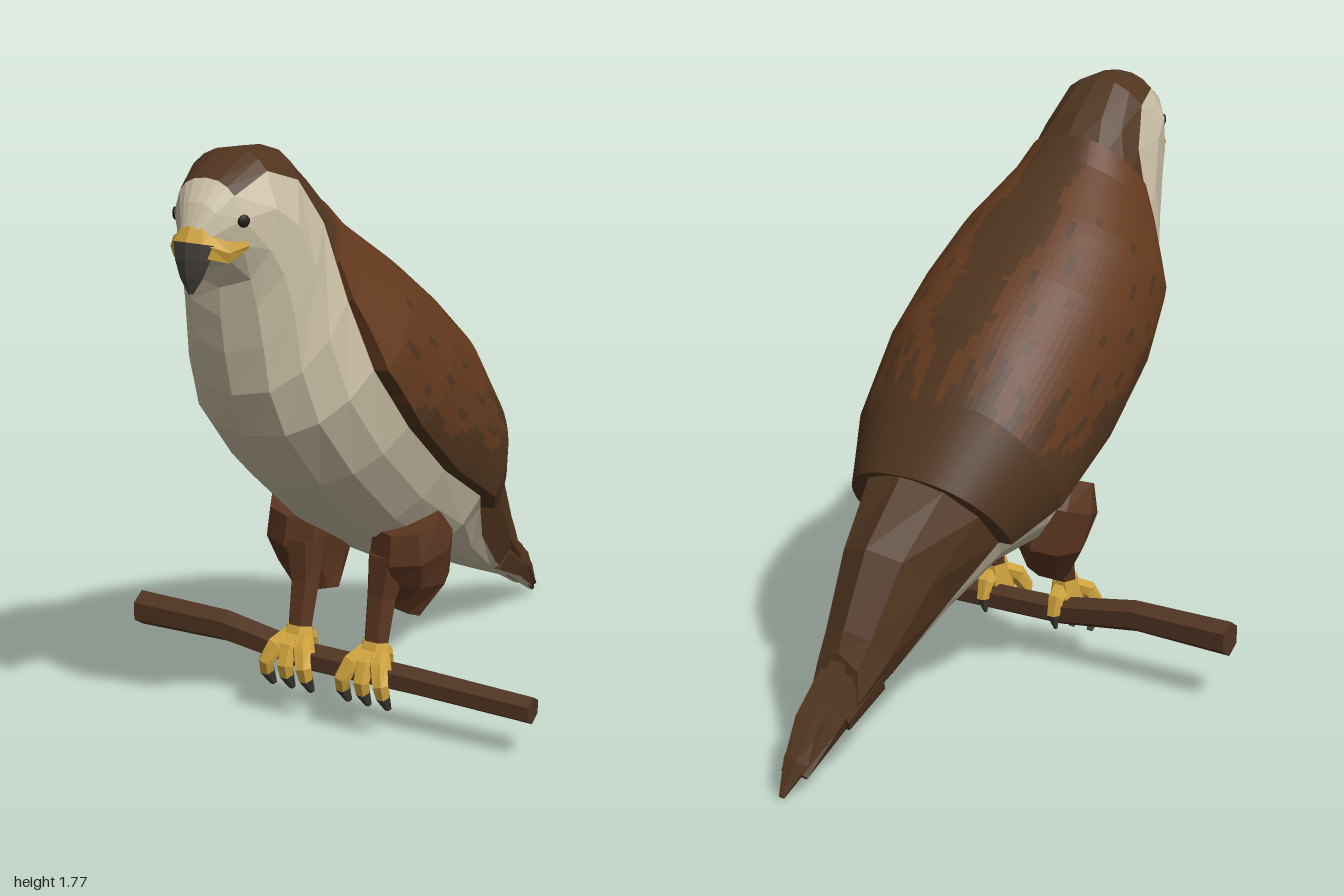
import * as THREE from 'three';

const mat = (name, color) => {
  const m = new THREE.MeshStandardMaterial({ color });
  m.name = name;
  return m;
};
const CREAM = mat('creamPlumage', 0xcbc0a6), DARK = mat('darkBrownPlumage', 0x50351f);
const RUST = mat('rustPlumage', 0x643a1e), LEG = mat('legPlumage', 0x59341f);
const YELLOW = mat('yellowSkin', 0xcea23c), HORN = mat('darkHorn', 0x45413b);
const BARK = mat('bark', 0x503422), EYE = mat('eye', 0x241c16);
const CX = 0.05; // the bird sits a little to one side of the branch centre
const V = (x, y, z) => new THREE.Vector3(x, y, z);
const lerp = THREE.MathUtils.lerp;

// Joins rows of points into faceted meshes, one per material; pick(i, j) colours a quad
function loft(name, rows, pick, closed, capStart, capEnd) {
  const faces = new Map();
  const tri = (m, ...p) => {
    if (!faces.has(m)) faces.set(m, []);
    p.forEach(v => faces.get(m).push(v.x, v.y, v.z));
  };
  const n = rows[0].length, cols = closed ? n : n - 1;
  for (let i = 0; i < rows.length - 1; i++) {
    for (let j = 0; j < cols; j++) {
      const k = (j + 1) % n, m = pick(i, j);
      tri(m, rows[i][j], rows[i][k], rows[i + 1][k]);
      tri(m, rows[i][j], rows[i + 1][k], rows[i + 1][j]);
    }
  }
  const cap = (row, flip, m) => {
    const c = row.reduce((a, v) => a.add(v), V(0, 0, 0)).divideScalar(n);
    row.forEach((v, j) => {
      const w = row[(j + 1) % n];
      flip ? tri(m, c, w, v) : tri(m, c, v, w);
    });
  };
  if (capStart) cap(rows[0], true, capStart);
  if (capEnd) cap(rows[rows.length - 1], false, capEnd);
  const group = new THREE.Group();
  group.name = name;
  for (const [m, pos] of faces) {
    const g = new THREE.BufferGeometry();
    g.setAttribute('position', new THREE.Float32BufferAttribute(pos, 3));
    g.computeVertexNormals();
    const mesh = new THREE.Mesh(g, m);
    mesh.name = name + '_' + m.name;
    group.add(mesh);
  }
  return group;
}

// Tapered limb; sections are [x, y, z, radius across, radius in depth]
function limb(name, sections, sides, pick, ref = V(1, 0, 0)) {
  const pts = sections.map(s => V(s[0], s[1], s[2])), last = pts.length - 1;
  const rows = sections.map((s, i) => {
    const d = pts[Math.min(i + 1, last)].clone().sub(pts[Math.max(i - 1, 0)]).normalize();
    const side = ref.clone().addScaledVector(d, -ref.dot(d)).normalize();
    const nrm = d.clone().cross(side);
    return Array.from({ length: sides }, (_, j) => {
      const a = (j / sides) * Math.PI * 2;
      return pts[i].clone().addScaledVector(side, Math.cos(a) * s[3])
        .addScaledVector(nrm, Math.sin(a) * (s[4] ?? s[3]));
    });
  });
  return loft(name, rows, pick, true, pick(0, 0), pick(last - 1, 0));
}

// Body slices, head to tail: back z, y; belly z, y; half width; colour seam (0 back, 1 belly)
const SLICES = [
  [0.972, 1.60, 0.95, 1.52, 0.042, 0.15],
  [0.945, 1.66, 0.91, 1.49, 0.072, 0.15],
  [0.90, 1.715, 0.88, 1.48, 0.107, 0.17],
  [0.78, 1.775, 0.85, 1.42, 0.155, 0.14],
  [0.65, 1.765, 0.845, 1.34, 0.175, 0.18],
  [0.54, 1.675, 0.83, 1.24, 0.195, 0.25],
  [0.42, 1.55, 0.80, 1.12, 0.23, 0.44],
  [0.25, 1.43, 0.73, 0.99, 0.285, 0.60],
  [0.05, 1.29, 0.56, 0.81, 0.315, 0.66],
  [-0.12, 1.16, 0.32, 0.61, 0.315, 0.67],
  [-0.28, 0.97, 0.05, 0.44, 0.29, 0.62],
  [-0.42, 0.77, -0.10, 0.42, 0.21, 0.62],
  [-0.59, 0.605, -0.30, 0.33, 0.148, 0.74],
  [-0.70, 0.40, -0.55, 0.22, 0.105, 0.85],
  [-0.725, 0.34, -0.76, 0.13, 0.085, 0.95],
];
function sliceAt(f) {
  const i = Math.min(Math.floor(f), SLICES.length - 2);
  return SLICES[i].map((v, k) => lerp(v, SLICES[i + 1][k], f - i));
}
// Point on a slice: angle 0 is the back, PI the belly; grow pushes it outward
function slicePoint([tz, ty, bz, by, w], angle, grow = 0) {
  const t = (1 - Math.cos(angle)) / 2 - grow * 0.25 * Math.cos(angle / 2);
  const x = Math.sign(angle) * (w + grow) * Math.abs(Math.sin(angle)) ** 0.85;
  return V(CX + x, lerp(ty, by, t), lerp(tz, bz, t));
}
const seamAngle = s => Math.acos(1 - 2 * s[5]);

function makeBody() {
  const up = 3, low = 4, half = up + low;
  const rows = SLICES.map(s => {
    const a = seamAngle(s), side = [];
    for (let j = 0; j <= half; j++) side.push(j <= up ? a * j / up : lerp(a, Math.PI, (j - up) / low));
    const all = side.concat(side.slice(1, -1).reverse().map(v => -v));
    return all.map(v => slicePoint(s, v));
  });
  const pick = (i, j) => (i > 1 && (j < up || j >= 2 * half - up) ? DARK : CREAM);
  return loft('body', rows, pick, true, CREAM, DARK);
}

// Folded wings: a raised mantle with ragged rust patches and a dark border
function makeWings() {
  const rowsN = 77, colsN = 60, rows = [];
  const start = 5.5, end = 11;
  for (let i = -1; i <= rowsN + 1; i++) {
    const u = THREE.MathUtils.clamp(i / rowsN, 0, 1), s = sliceAt(lerp(start, end, u));
    const a = seamAngle(s), tucked = i < 0 || i > rowsN; // both ends close against the body
    const grow = tucked ? -0.02 : 0.047 * Math.min(1, 0.15 + u * 2.8);
    const row = [];
    for (let j = 0; j <= colsN; j++) row.push(slicePoint(s, a * (j / colsN * 2 - 1), grow));
    row.unshift(slicePoint(s, -a, -0.03)); // rim tucked into the body
    row.push(slicePoint(s, a, -0.03));
    rows.push(row);
  }
  const pick = (i, j) => {
    const u = i / rowsN, v = Math.abs((j - 0.5) / colsN * 2 - 1);
    const jag = Math.sin(v * 41) * 0.06 + Math.sin(v * 17 + 1) * 0.04;
    const inner = 0.22 - 0.22 * u + 0.03 * Math.sin(u * 23);
    const outer = 1.2 - 0.57 * u + 0.04 * Math.sin(u * 37);
    const fleck = u > 0.25 && Math.sin(u * 26 + v * 11) * Math.sin(v * 44) > 0.84;
    return v < inner || v > outer || u > 0.77 + jag || fleck ? DARK : RUST;
  };
  return loft('foldedWings', rows, pick, false);
}

export function createModel() {
  const model = new THREE.Group();
  model.name = 'perchedBird';
  model.add(makeBody(), makeWings());

  // Tail feathers, brown above and pale below
  const feather = (x, w, ...path) => model.add(limb('tailFeather',
    path.map(([y, z, r, k]) => [CX + x * k, y, z, w * k, r]), 6, (i, j) => (j === 1 ? CREAM : DARK)));
  feather(0, 0.045, [0.265, -0.68, 0.08, 1], [0.165, -0.84, 0.06, 1], [0.085, -0.93, 0.04, 0.9],
    [0.01, -0.995, 0.009, 0.2]);
  for (const s of [1, -1]) {
    feather(s * 0.04, 0.036, [0.25, -0.68, 0.07, 1], [0.155, -0.83, 0.05, 0.9], [0.055, -0.935, 0.015, 0.6]);
    feather(s * 0.06, 0.03, [0.26, -0.64, 0.07, 1], [0.17, -0.785, 0.045, 0.85]);
  }

  // Hooked beak with a yellow base
  model.add(limb('beak', [
    [CX, 1.592, 0.945, 0.045, 0.03], [CX, 1.556, 0.96, 0.062, 0.037],
    [CX, 1.515, 0.966, 0.053, 0.034], [CX, 1.47, 0.972, 0.034, 0.024],
    [CX, 1.428, 0.977, 0.006, 0.006]], 8, i => (i < 1 ? YELLOW : HORN)));

  for (const s of [1, -1]) {
    // Mouth corners and eyes
    model.add(limb('mouthCorner', [
      [CX + s * 0.04, 1.55, 0.957, 0.02, 0.036], [CX + s * 0.078, 1.535, 0.922, 0.017, 0.032],
      [CX + s * 0.105, 1.548, 0.872, 0.008, 0.012]], 6, () => YELLOW));
    const eye = new THREE.Mesh(new THREE.SphereGeometry(0.017, 8, 6), EYE);
    eye.name = 'eye';
    eye.scale.x = 0.4;
    eye.position.set(CX + s * 0.106, 1.612, 0.889);
    eye.rotation.y = -s * 0.6;
    model.add(eye);

    // Feathered thigh and shank
    const x = CX + s * 0.13;
    model.add(limb('thigh', [
      [CX + s * 0.175, 0.63, 0.18, 0.105, 0.09], [CX + s * 0.178, 0.55, 0.15, 0.12, 0.135],
      [CX + s * 0.168, 0.45, 0.125, 0.108, 0.12],
      [CX + s * 0.14, 0.345, 0.15, 0.07, 0.05]], 8, () => LEG));
    model.add(limb('shank', [
      [x + s * 0.01, 0.52, 0.215, 0.065, 0.07], [x, 0.4, 0.24, 0.047, 0.043],
      [x, 0.25, 0.275, 0.038, 0.033]], 6, () => LEG));

    // Foot: three toes in front of the branch, one behind, each ending in a claw
    model.add(limb('ankle', [
      [x, 0.275, 0.272, 0.042, 0.04], [x, 0.2, 0.285, 0.06, 0.06]], 6, () => YELLOW));
    for (const k of [-1, 0, 1]) {
      model.add(limb('frontToe', [
        [x + k * 0.018, 0.25, 0.285, 0.026], [x + k * 0.045, 0.222, 0.335, 0.028],
        [x + k * 0.064, 0.175, 0.355, 0.026], [x + k * 0.067, 0.145, 0.347, 0.023],
        [x + k * 0.066, 0.095, 0.315, 0.011]], 6, i => (i < 3 ? YELLOW : HORN)));
    }
    model.add(limb('backToe', [
      [x, 0.245, 0.265, 0.03], [x, 0.218, 0.22, 0.028], [x, 0.17, 0.205, 0.022],
      [x, 0.12, 0.22, 0.006]], 6, i => (i < 2 ? YELLOW : HORN)));
  }

  // Perch
  model.add(limb('branch', [
    [-0.67, 0.207, 0.247, 0.055, 0.05], [-0.35, 0.21, 0.25, 0.05, 0.048],
    [-0.08, 0.17, 0.25, 0.045, 0.048], [0.3, 0.165, 0.245, 0.043, 0.045],
    [0.67, 0.15, 0.235, 0.041, 0.04]], 6, () => BARK, V(0, 1, 0)));
  return model;
}
